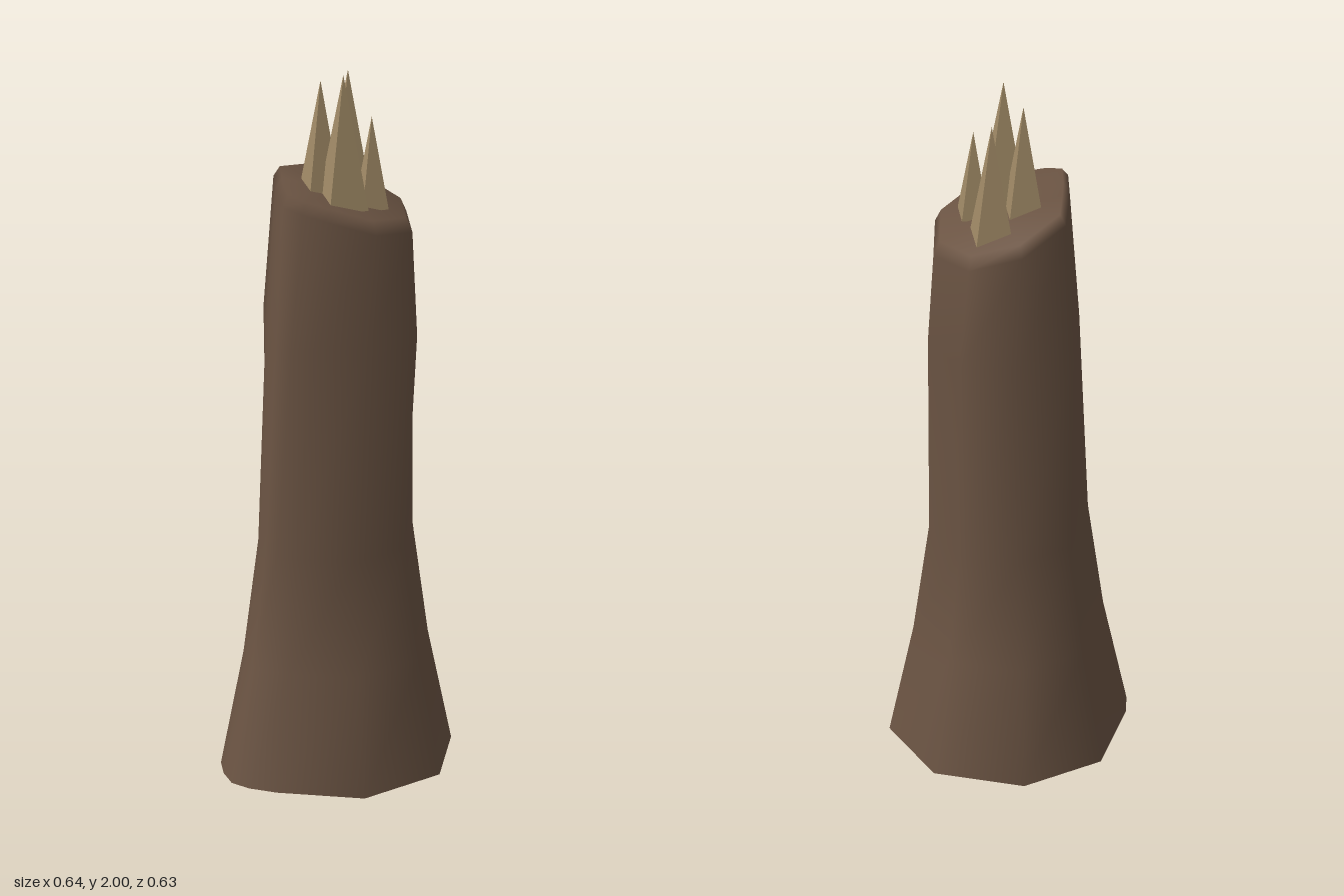
import * as THREE from 'three';

const bark = new THREE.MeshStandardMaterial({ color: 0x6b5443, side: THREE.DoubleSide });
bark.name = 'bark';
const splinterWood = new THREE.MeshStandardMaterial({ color: 0xa08a66 });
splinterWood.name = 'splinter wood';

// Cross-sections as [x, z], starting at the back and passing +x, front, -x
const FOOT = [[0, -0.315], [0.23, -0.225], [0.32, 0], [0.23, 0.22], [0, 0.315], [-0.215, 0.22],
  [-0.28, 0.175], [-0.315, 0.13], [-0.32, 0.065], [-0.31, 0], [-0.215, -0.225]];
const WAIST = [[-0.005, -0.2], [0.155, -0.17], [0.22, -0.02], [0.19, 0.14], [0.04, 0.2], [-0.1, 0.165],
  [-0.155, 0.145], [-0.19, 0.115], [-0.192, 0.05], [-0.185, -0.01], [-0.155, -0.145]];
const RIM = [[-0.01, -0.192], [0.13, -0.165], [0.208, -0.04], [0.185, 0.11], [0.065, 0.188], [-0.06, 0.16],
  [-0.125, 0.14], [-0.17, 0.11], [-0.165, 0.04], [-0.155, -0.02], [-0.137, -0.11]];

// Height of the slanted break
const breakY = (x) => 1.635 - 0.325 * x;

function trunkGeometry() {
  const scaled = (ring, s, y) => ring.map(([x, z]) => [x * s, y, z * s]);
  const inset = (s) => RIM.map(([x, z]) => {
    const px = 0.025 + (x - 0.025) * s;
    return [px, breakY(px), z * s];
  });
  const rings = [
    scaled(FOOT, 1, 0),
    scaled(FOOT, 0.8, 0.32),
    scaled(FOOT, 0.67, 0.64),
    scaled(WAIST, 1, 1.25),
    RIM.map(([x, z]) => [x, breakY(x) - 0.035, z]),
    inset(0.91),
  ];
  const n = FOOT.length;
  const points = rings.flat();
  const centre = points.length;
  points.push([0.025, breakY(0.025), 0]);
  const index = [];
  for (let r = 0; r < rings.length - 1; r++) {
    for (let i = 0; i < n; i++) {
      const a = r * n + i, b = r * n + (i + 1) % n;
      index.push(a, a + n, b, b, a + n, b + n);
    }
  }
  // Slanted top; the bottom stays open
  const last = (rings.length - 1) * n;
  for (let i = 0; i < n; i++) index.push(centre, last + (i + 1) % n, last + i);
  const g = new THREE.BufferGeometry();
  g.setAttribute('position', new THREE.Float32BufferAttribute(points.flat(), 3));
  g.setIndex(index);
  g.computeVertexNormals();
  return g;
}

// Four-sided spike with flat faces
function splinter(x, z, half, bottom, tip, turn) {
  const h = tip - bottom;
  const g = new THREE.ConeGeometry(half * Math.SQRT2, h, 4).rotateY(Math.PI / 4 + turn).toNonIndexed();
  g.computeVertexNormals();
  const m = new THREE.Mesh(g, splinterWood);
  m.position.set(x, bottom + h / 2, z);
  return m;
}

export function createModel() {
  const model = new THREE.Group();
  model.name = 'brokenTreeTrunk';
  const trunk = new THREE.Mesh(trunkGeometry(), bark);
  trunk.name = 'trunk';
  model.add(trunk);

  // x, z, half width, bottom, tip, turn
  const spikes = [
    [0.056, -0.069, 0.049, 1.6, 1.95, 0.04],
    [-0.037, -0.002, 0.046, 1.62, 1.96, 0.05],
    [0.008, 0.064, 0.054, 1.62, 2.0, 0.03],
    [0.091, 0.045, 0.036, 1.6, 1.86, 0.03],
  ];
  spikes.forEach((s, i) => {
    const m = splinter(...s);
    m.name = `splinter${i + 1}`;
    model.add(m);
  });
  return model;
}
